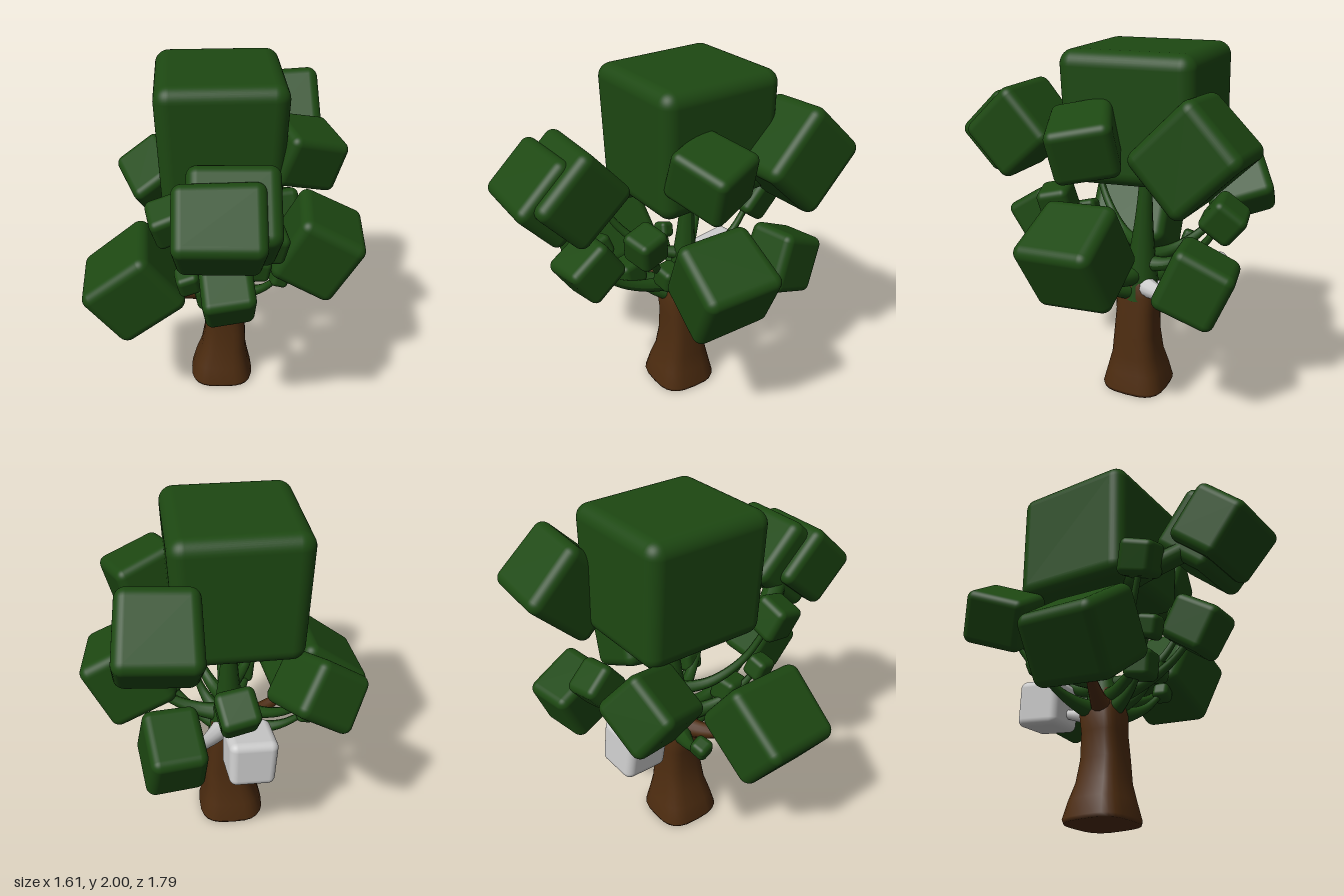
import * as THREE from 'three';
import { RoundedBoxGeometry } from 'three/addons/geometries/RoundedBoxGeometry.js';

const BARK = new THREE.MeshStandardMaterial({ color: 0x4d2c10 });
const LEAF = new THREE.MeshStandardMaterial({ color: 0x1d4812 });
const PALE = new THREE.MeshStandardMaterial({ color: 0xcccccc });

// Soft-edged leaf block with a slight organic swell
function leafBlock(name, pos, size, rot, material = LEAF) {
  const geo = new RoundedBoxGeometry(...size, 5, 0.02 + Math.min(...size) * 0.09);
  const p = geo.attributes.position;
  for (let i = 0; i < p.count; i++) {
    const x = p.getX(i), y = p.getY(i), z = p.getZ(i);
    p.setXYZ(i,
      x * (1 + 0.04 * Math.sin(3 * y / size[1] + 9 * pos[0])),
      y * (1 + 0.03 * Math.sin(3 * z / size[2] + 7 * pos[1])),
      z * (1 + 0.04 * Math.sin(3 * x / size[0] + 8 * pos[2])));
  }
  const mesh = new THREE.Mesh(geo, material);
  mesh.name = name;
  mesh.position.set(...pos);
  mesh.rotation.set(...rot);
  return mesh;
}

// Limb along a smooth path, thick at its root and thin at its tip
function limb(name, points, r0, r1, material) {
  const curve = new THREE.CatmullRomCurve3(points);
  const rows = 20, sides = 12;
  const geo = new THREE.TubeGeometry(curve, rows, 1, sides, false);
  const p = geo.attributes.position, v = new THREE.Vector3();
  for (let i = 0; i < p.count; i++) {
    const t = Math.floor(i / (sides + 1)) / rows;
    const centre = curve.getPointAt(t);
    v.fromBufferAttribute(p, i).sub(centre).multiplyScalar(r1 + (r0 - r1) * (1 - t) ** 2).add(centre);
    p.setXYZ(i, v.x, v.y, v.z);
  }
  geo.computeVertexNormals();
  const mesh = new THREE.Mesh(geo, material);
  mesh.name = name;
  return mesh;
}

// Sagging limb from the main stem to a leaf block; higher blocks fork higher up
function limbTo(name, [x, y, z], material = LEAF) {
  const fork = THREE.MathUtils.clamp(0.64 + 0.5 * (y - 0.85), 0.62, 0.95);
  const at = (t, rise) => new THREE.Vector3(x * t, fork + (y - fork) * rise, -0.16 + (z + 0.16) * t);
  const root = THREE.MathUtils.mapLinear(fork, 0.62, 0.95, 0.075, 0.03);
  return limb(name, [at(0, 0), at(0.35, 0.08), at(0.7, 0.4), at(1, 1)], root, 0.018, material);
}

// Trunk lofted from rounded-square sections: [height, half width, sideways lean]
function trunk() {
  const sections = [
    [0, 0, 0], [0, 0.183, -0.01], [0.02, 0.19, -0.012], [0.12, 0.165, -0.01], [0.22, 0.138, 0],
    [0.35, 0.124, 0.01], [0.5, 0.116, 0], [0.6, 0.122, -0.01], [0.67, 0.1, 0], [0.75, 0.07, 0], [0.8, 0, 0],
  ];
  const n = 24, pos = [], index = [];
  const squared = (c) => Math.sign(c) * Math.abs(c) ** 0.65;
  sections.forEach(([y, r, lean], i) => {
    for (let j = 0; j < n; j++) {
      const a = (j / n) * Math.PI * 2;
      pos.push(lean + r * squared(Math.cos(a)), y, -0.155 + r * squared(Math.sin(a)));
      if (i === 0) continue;
      const k = (j + 1) % n, lo = (i - 1) * n, hi = i * n;
      index.push(lo + j, hi + j, hi + k, lo + j, hi + k, lo + k);
    }
  });
  const geo = new THREE.BufferGeometry();
  geo.setAttribute('position', new THREE.Float32BufferAttribute(pos, 3));
  geo.setIndex(index);
  geo.computeVertexNormals();
  const mesh = new THREE.Mesh(geo, BARK);
  mesh.name = 'trunk';
  return mesh;
}

export function createModel() {
  const tree = new THREE.Group();
  tree.name = 'tree';
  tree.add(trunk());

  // Main stem rising into the crown
  const stem = [0.58, 0.85, 1.1, 1.4].map((y) => new THREE.Vector3(0, y, -0.14 - 0.04 * y));
  tree.add(limb('mainStem', stem, 0.12, 0.035, LEAF));

  // Crown and the blocks that grow straight out of it: name, centre, size, rotation
  const crown = [
    ['crownLeaves', [-0.02, 1.65, -0.19], [0.67, 0.7, 0.74], [0.03, 0.03, 0]],
    ['upperFrontLeaves', [0.035, 1.495, 0.56], [0.43, 0.39, 0.41], [0.74, 0, 0]],
    ['upperFrontOuterLeaves', [-0.035, 1.48, 0.66], [0.43, 0.35, 0.37], [0.74, 0, 0]],
    ['upperRearLeaves', [0.375, 1.55, -0.61], [0.41, 0.41, 0.45], [0.8, 0.04, 0.04]],
    ['upperLeftLeaves', [0.42, 1.57, -0.04], [0.36, 0.3, 0.33], [0.2, 0.35, -0.35]],
  ];
  crown.forEach((block) => tree.add(leafBlock(...block)));

  // Leafy bridge from the crown to the upper front blocks
  const bridge = [[-0.1, 1.35, 0.05], [-0.2, 1.31, 0.27], [-0.1, 1.42, 0.48]];
  tree.add(limb('upperFrontBridge', bridge.map((q) => new THREE.Vector3(...q)), 0.07, 0.06, LEAF));

  // Large leaf blocks on limbs: name, centre, size, rotation, limb material
  const large = [
    ['left', [0.535, 0.99, -0.05], [0.41, 0.42, 0.44], [0.1, -0.08, -0.47]],
    ['right', [-0.515, 0.835, 0.08], [0.45, 0.4, 0.47], [0.06, 0.08, 0.64], BARK],
    ['rearRight', [-0.405, 1.18, -0.585], [0.33, 0.3, 0.36], [0.35, 0.4, 0.5]],
    ['rearLeft', [0.33, 0.87, -0.625], [0.3, 0.34, 0.33], [-0.4, 0.15, 0.1], PALE],
    ['front', [0.01, 0.99, 0.455], [0.27, 0.26, 0.28], [0.6, 0.1, 0.03]],
  ];
  for (const [name, centre, size, rot, material] of large) {
    tree.add(leafBlock(name + 'Leaves', centre, size, rot), limbTo(name + 'Limb', centre, material));
  }

  // Low pale block behind the trunk
  const low = [-0.08, 0.71, -0.5];
  tree.add(leafBlock('rearLowLeaves', low, [0.26, 0.27, 0.26], [0.1, 0.1, 0.05], PALE));
  tree.add(limbTo('rearLowLimb', low, PALE));

  // Small tufts on twigs: name, centre, width; each tilts towards its own side
  const tufts = [
    ['rearUpper', [0.005, 1.12, -0.65], 0.2],
    ['frontRight', [-0.29, 1.33, 0.29], 0.2],
    ['frontLeft', [0.235, 1.16, 0.23], 0.18],
    ['right', [-0.42, 0.8, -0.3], 0.1],
    ['left', [0.32, 0.81, 0.02], 0.1],
    ['innerFront', [-0.2, 0.96, 0.28], 0.13],
    ['innerLeft', [0.19, 0.9, 0.06], 0.13],
    ['innerRight', [-0.09, 0.81, 0.15], 0.16],
  ];
  for (const [name, centre, s] of tufts) {
    tree.add(leafBlock(name + 'Tuft', centre, [s, s, s], [centre[2], 0.2, -centre[0]]));
    tree.add(limbTo(name + 'Twig', centre));
  }

  return tree;
}
